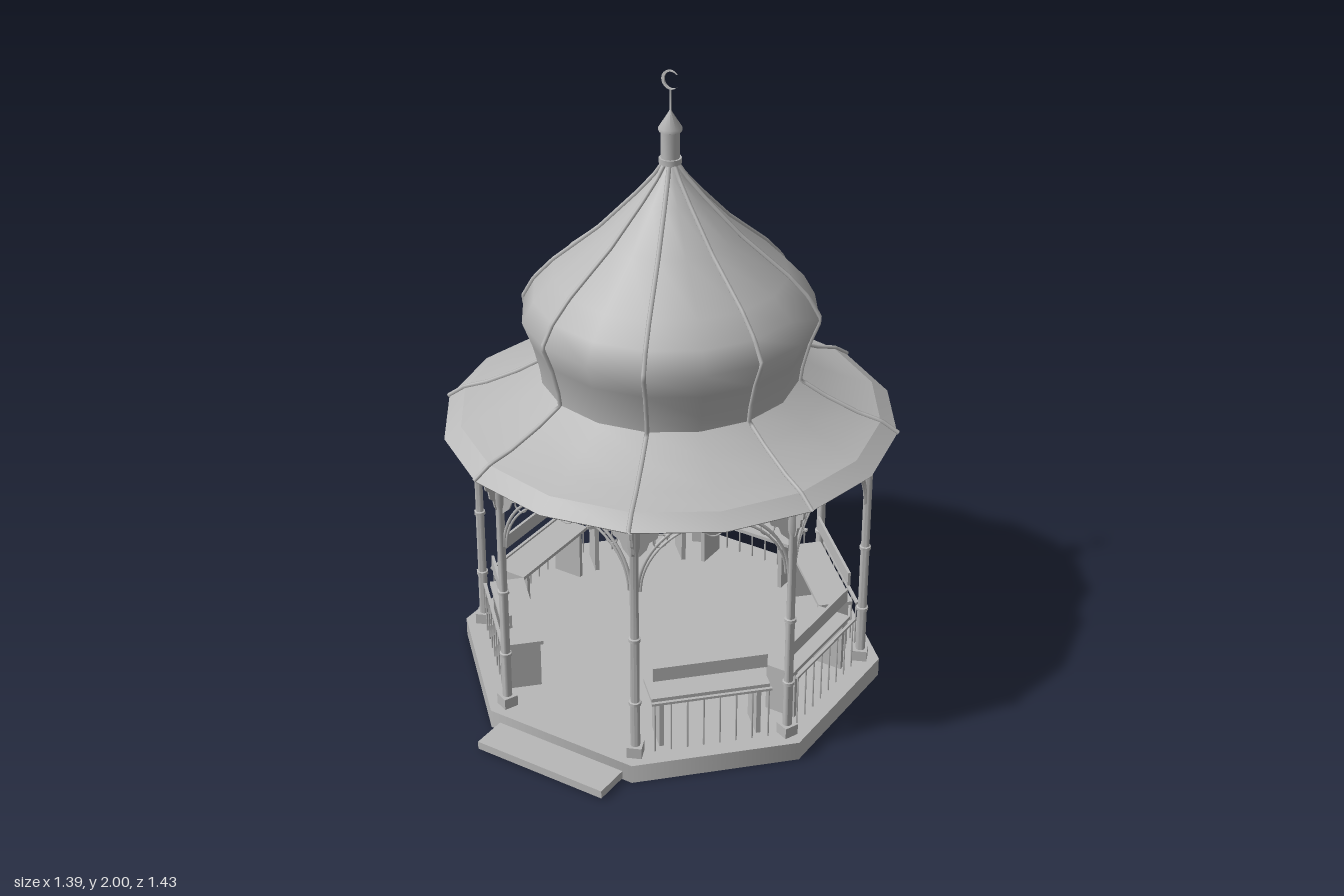
import * as THREE from 'three';
import { toCreasedNormals } from 'three/addons/utils/BufferGeometryUtils.js';

const STEP = Math.PI / 4;
const POST_R = 0.614, APO = 0.567, FLOOR = 0.062;

export function createModel() {
  const model = new THREE.Group();
  model.name = 'gardenPavilion';
  const body = new THREE.Group();
  body.name = 'pavilion';
  body.position.z = -0.022;
  model.add(body);

  const grey = new THREE.MeshStandardMaterial({ color: 0xb8b8b8, side: THREE.DoubleSide });
  grey.name = 'plain grey';

  const add = (parent, name, geo, x = 0, y = 0, z = 0) => {
    const m = new THREE.Mesh(geo, grey);
    m.name = name;
    m.position.set(x, y, z);
    parent.add(m);
    return m;
  };
  const box = (w, h, d) => new THREE.BoxGeometry(w, h, d);
  const lathe = (pts, n) => new THREE.LatheGeometry(pts.map(([r, y]) => new THREE.Vector2(r, y)), n);
  const sharpLathe = (pts, n, angle = 0.85) => toCreasedNormals(lathe(pts, n), angle);
  const polyTube = (pts, r, n = 6) => {
    const path = new THREE.CurvePath();
    for (let i = 1; i < pts.length; i++) path.add(new THREE.LineCurve3(pts[i - 1], pts[i]));
    return new THREE.TubeGeometry(path, 60, r, n, false);
  };
  // Drops the bottom face, leaving a shell that is hollow underneath
  const openBelow = (geo, from, to) => {
    geo.setIndex(Array.from(geo.index.array).filter((_, i) => i < from || i >= to));
    geo.clearGroups();
    return geo;
  };

  // Octagonal floor and entrance step, both hollow shells
  const floor = openBelow(new THREE.CylinderGeometry(0.675, 0.675, FLOOR, 8), 72, 96);
  add(body, 'floor', floor, 0, FLOOR / 2, 0).rotation.y = STEP / 2;
  add(model, 'entranceStep', openBelow(box(0.45, 0.026, 0.125), 18, 24), 0, 0.017, 0.653);

  // Roof skirt, dome and underside, all sixteen-sided
  const skirt = [[0.694, 0.888], [0.642, 0.924], [0.57, 0.947], [0.47, 0.995], [0.392, 1.043]];
  const dome = [[0.392, 1.043], [0.398, 1.09], [0.418, 1.17], [0.448, 1.25], [0.412, 1.315], [0.352, 1.38],
    [0.208, 1.5], [0.097, 1.615], [0.045, 1.675], [0.012, 1.725]];
  add(body, 'roofSkirt', sharpLathe(skirt, 16, 0.28));
  add(body, 'dome', lathe(dome, 16));
  add(body, 'roofUnderside', sharpLathe([[0, 0.883], [0.69, 0.883], [0.694, 0.888]], 16));

  // Ribs that follow the roof at each post
  const profile = [...skirt, ...dome.slice(1)];
  const ribGeo = polyTube(profile.map(([r, y]) => new THREE.Vector3(0, y + 0.002, r + 0.003)), 0.007);
  for (let k = 0; k < 8; k++) add(body, 'roofRib', ribGeo).rotation.y = (k + 0.5) * STEP;

  // Finial with crescent
  add(body, 'finial', sharpLathe([[0.034, 1.718], [0.034, 1.735], [0.028, 1.735], [0.028, 1.815],
    [0.035, 1.818], [0.035, 1.828], [0.008, 1.87], [0.003, 1.88], [0.003, 1.945], [0, 1.945]], 12));
  const moon = new THREE.Shape();
  const a = 40 * Math.PI / 180, b = 47.6 * Math.PI / 180;
  moon.absarc(0, 0, 0.029, a, 2 * Math.PI - a, false);
  moon.absarc(0.005, 0, 0.0252, 2 * Math.PI - b, b, true);
  add(body, 'crescent', new THREE.ExtrudeGeometry(moon, { depth: 0.006, bevelEnabled: false, curveSegments: 20 }),
    0, 1.971, -0.003);

  // Scalloped bracket plate growing from a post along +x
  const leaf = new THREE.Shape([[0, 0.87], [0.1, 0.865], [0.095, 0.845], [0.075, 0.838], [0.068, 0.812],
    [0.045, 0.802], [0.036, 0.778], [0, 0.745]].map(([x, y]) => new THREE.Vector2(x, y)));
  const bracketGeo = new THREE.ExtrudeGeometry(leaf, { depth: 0.008, bevelEnabled: false });
  bracketGeo.translate(0, 0, -0.004);

  // Posts with square plinths and rings
  const postGeo = sharpLathe([[0.015, 0.062], [0.015, 0.243], [0.019, 0.245], [0.019, 0.255],
    [0.014, 0.257], [0.014, 0.468], [0.018, 0.47], [0.018, 0.48], [0.013, 0.482], [0.013, 0.77],
    [0.018, 0.79], [0.018, 0.885]], 10);
  for (let k = 0; k < 8; k++) {
    const post = new THREE.Group();
    post.name = 'post';
    post.rotation.y = (k + 0.5) * STEP;
    body.add(post);
    add(post, 'postShaft', postGeo, 0, 0, POST_R);
    add(post, 'postPlinth', box(0.046, 0.036, 0.046), 0, 0.08, POST_R);
    const outer = add(post, 'outerBracket', bracketGeo, 0, 0, POST_R);
    outer.rotation.y = -Math.PI / 2;
    outer.scale.x = 0.5;
  }

  // Arch curve between two posts
  const archGeo = (rx, ry, r) => {
    const pts = [];
    for (let i = 0; i <= 20; i++) {
      const t = Math.PI * i / 20;
      pts.push(new THREE.Vector3(rx * Math.cos(t), 0.64 + ry * Math.sin(t), 0));
    }
    return new THREE.TubeGeometry(new THREE.CatmullRomCurve3(pts), 32, r, 6, false);
  };
  const outerArch = archGeo(0.224, 0.225, 0.005);
  const innerArch = archGeo(0.216, 0.205, 0.004);
  const ringGeo = new THREE.TorusGeometry(0.031, 0.0025, 6, 20);
  const scrollGeo = new THREE.TorusGeometry(0.021, 0.0025, 6, 16);
  const balusterGeo = new THREE.CylinderGeometry(0.0028, 0.0028, 0.17, 6);

  for (let k = 0; k < 8; k++) {
    const side = new THREE.Group();
    side.name = k === 0 ? 'entranceSide' : 'benchSide';
    side.rotation.y = k * STEP;
    body.add(side);

    // Beam, double arch, rings and brackets
    add(side, 'beam', box(0.465, 0.014, 0.02), 0, 0.877, APO);
    add(side, 'outerArch', outerArch, 0, 0, APO);
    add(side, 'innerArch', innerArch, 0, 0, APO);
    add(side, 'centreRing', ringGeo, 0, 0.828, APO);
    for (const s of [-1, 1]) {
      add(side, 'archScroll', scrollGeo, s * 0.158, 0.802, APO);
      add(side, 'sideBracket', bracketGeo, s * 0.235, 0, APO).rotation.y = s > 0 ? Math.PI : 0;
    }
    if (k === 0) continue;

    // Railing
    add(side, 'rail', box(0.37, 0.008, 0.01), 0, 0.234, APO);
    for (let i = 0; i < 8; i++) add(side, 'baluster', balusterGeo, (i - 3.5) * 0.05, 0.147, APO);

    // Bench
    add(side, 'benchSeat', box(0.365, 0.012, 0.11), 0, 0.236, 0.497);
    add(side, 'benchBack', box(0.35, 0.046, 0.009), 0, 0.322, 0.54);
    for (const s of [-1, 1]) {
      add(side, 'benchLeg', box(0.014, 0.17, 0.1), s * 0.15, 0.146, 0.497);
    }
  }
  return model;
}
